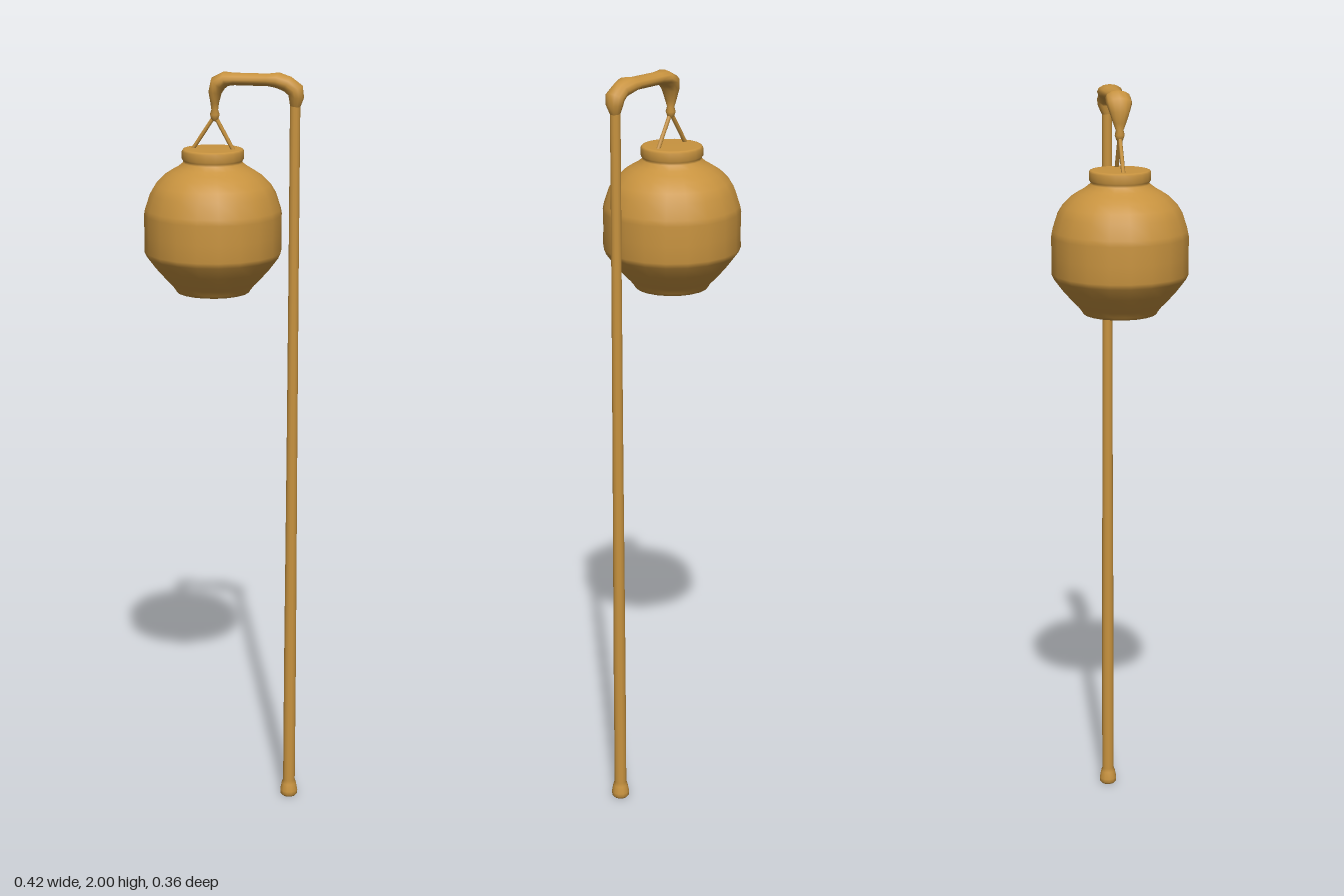
import * as THREE from 'three';

const LANTERN_X = -0.032, POLE_X = 0.183;

// Smooth solid of revolution from [radius, y] pairs, listed bottom to top
function lathe(name, profile, segments, material, x) {
  const pts = profile.map(([r, y]) => new THREE.Vector2(r, y));
  const mesh = new THREE.Mesh(new THREE.LatheGeometry(pts, segments), material);
  mesh.name = name;
  mesh.position.x = x;
  return mesh;
}

// Elliptical sweep in the xy plane; sections are [x, y, half thickness, half depth]
function sweep(name, sections, sides, material) {
  const pos = [], index = [];
  sections.forEach(([x, y, h, w], i) => {
    const a = sections[Math.max(i - 1, 0)];
    const b = sections[Math.min(i + 1, sections.length - 1)];
    const len = Math.hypot(b[0] - a[0], b[1] - a[1]);
    const nx = -(b[1] - a[1]) / len, ny = (b[0] - a[0]) / len;
    for (let j = 0; j < sides; j++) {
      const t = (j / sides) * Math.PI * 2, c = Math.cos(t) * h;
      pos.push(x + nx * c, y + ny * c, Math.sin(t) * w);
    }
    if (i === 0) return;
    for (let j = 0; j < sides; j++) {
      const p = (i - 1) * sides + j, q = (i - 1) * sides + (j + 1) % sides;
      index.push(p, q, p + sides, q, q + sides, p + sides);
    }
  });
  const geo = new THREE.BufferGeometry();
  geo.setAttribute('position', new THREE.Float32BufferAttribute(pos, 3));
  geo.setIndex(index);
  geo.computeVertexNormals();
  const mesh = new THREE.Mesh(geo, material);
  mesh.name = name;
  return mesh;
}

export function createModel() {
  const group = new THREE.Group();
  group.name = 'hangingLantern';
  const bronze = new THREE.MeshStandardMaterial({ color: 0xc8933f });
  bronze.name = 'golden bronze';

  // Slender pole with a flared foot
  group.add(lathe('pole', [
    [0, 0], [0.019, 0], [0.024, 0.006], [0.024, 0.016], [0.02, 0.036], [0.0165, 0.046],
    [0.0165, 0.4], [0.0145, 1.0], [0.0135, 1.5], [0.0135, 1.94],
  ], 12, bronze, POLE_X));

  // Bent arm with swollen joints, ending in a tapered drop
  group.add(sweep('arm', [
    [0.183, 1.915, 0.0135, 0.0135],
    [0.186, 1.938, 0.02, 0.024],
    [0.184, 1.955, 0.022, 0.027],
    [0.163, 1.971, 0.021, 0.025],
    [0.137, 1.98, 0.02, 0.034],
    [0.112, 1.98, 0.016, 0.027],
    [0.025, 1.98, 0.016, 0.025],
    [0.002, 1.98, 0.019, 0.033],
    [-0.018, 1.968, 0.022, 0.034],
    [-0.026, 1.945, 0.017, 0.026],
    [-0.027, 1.918, 0.011, 0.017],
    [-0.027, 1.9, 0.009, 0.01],
    [-0.027, 1.888, 0.013, 0.013],
    [-0.027, 1.875, 0.009, 0.009],
    [-0.027, 1.87, 0.0005, 0.0005],
  ], 12, bronze));

  // Two wires spreading from the drop to the lantern lid
  for (const side of [-1, 1]) {
    const path = new THREE.LineCurve3(
      new THREE.Vector3(-0.027, 1.885, 0),
      new THREE.Vector3(LANTERN_X + side * 0.057, 1.792, 0));
    const wire = new THREE.Mesh(new THREE.TubeGeometry(path, 1, 0.0055, 6), bronze);
    wire.name = side < 0 ? 'rightWire' : 'leftWire';
    group.add(wire);
  }

  // Round lantern body with a collar, flat lid and recessed underside
  group.add(lathe('lantern', [
    [0, 1.463], [0.052, 1.46], [0.062, 1.45], [0.068, 1.427], [0.075, 1.424],
    [0.096, 1.425], [0.1, 1.432], [0.11, 1.445], [0.119, 1.453], [0.15, 1.488],
    [0.174, 1.52], [0.18, 1.534], [0.179, 1.58], [0.18, 1.63], [0.177, 1.645],
    [0.164, 1.685], [0.15, 1.708], [0.128, 1.73], [0.108, 1.743], [0.092, 1.752],
    [0.077, 1.764], [0.077, 1.77], [0.081, 1.775], [0.081, 1.794], [0.077, 1.799],
    [0.07, 1.8], [0, 1.8],
  ], 20, bronze, LANTERN_X));

  return group;
}
